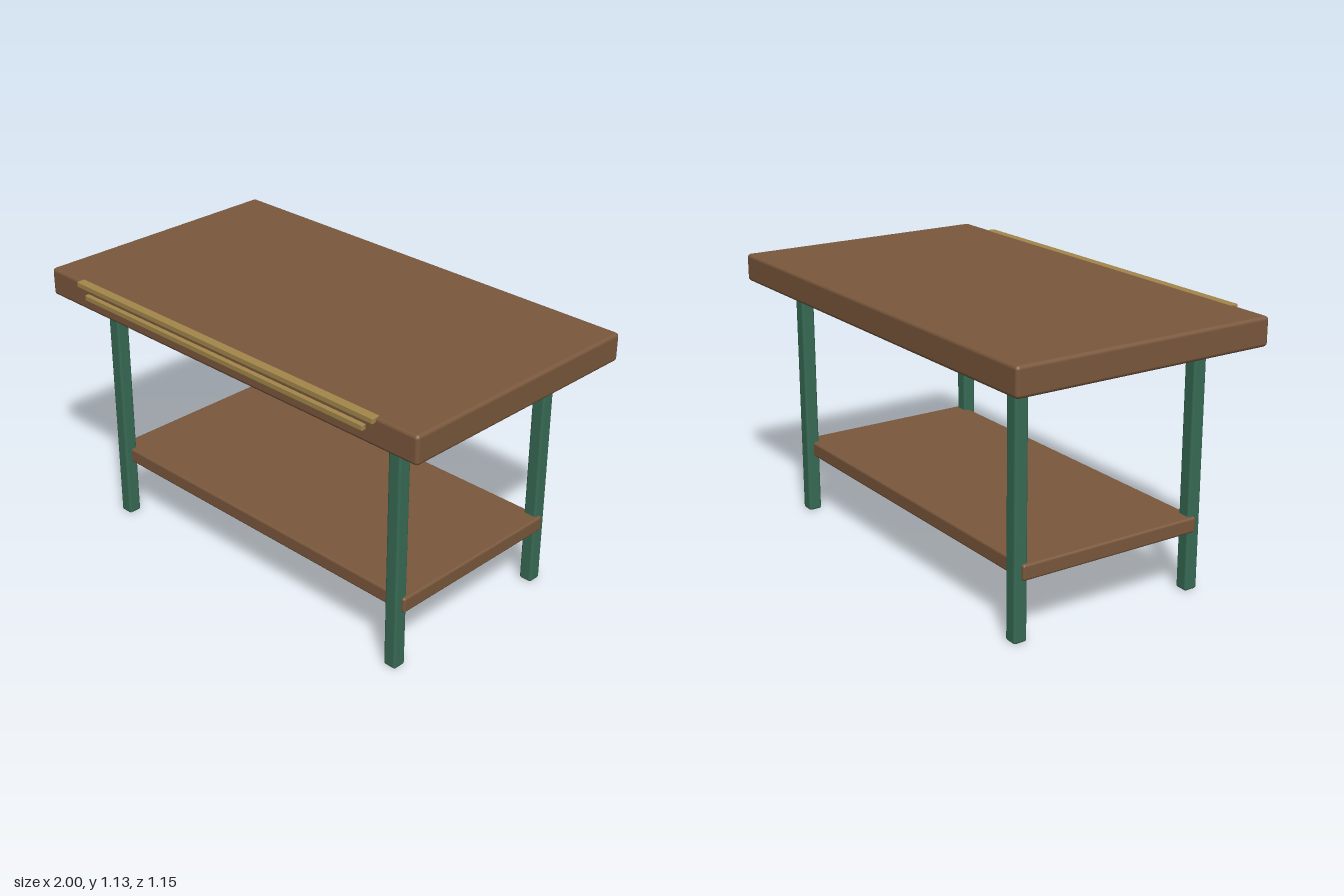
import * as THREE from 'three';
import { RoundedBoxGeometry } from 'three/addons/geometries/RoundedBoxGeometry.js';

export function createModel() {
  const model = new THREE.Group();
  model.name = 'workbench';

  const material = (name, color) => {
    const m = new THREE.MeshStandardMaterial({ color });
    m.name = name;
    return m;
  };
  const wood = material('brown wood', 0x7a583c);
  const green = material('green paint', 0x386b55);
  const brass = material('brass', 0xa3874b);

  // Softened box given by its lower and upper corners
  const block = (name, mat, [x0, y0, z0], [x1, y1, z1], radius) => {
    const geometry = new RoundedBoxGeometry(x1 - x0, y1 - y0, z1 - z0, 2, radius);
    const mesh = new THREE.Mesh(geometry, mat);
    mesh.name = name;
    mesh.position.set((x0 + x1) / 2, (y0 + y1) / 2, (z0 + z1) / 2);
    model.add(mesh);
  };

  // Thick worktop and lower shelf
  block('worktop', wood, [-1, 1.011, -0.573], [1, 1.128, 0.556], 0.015);
  block('shelf', wood, [-0.826, 0.25, -0.415], [0.826, 0.314, 0.4], 0.01);

  // Four posts, ending just below the worktop
  for (const x of [-0.783, 0.783]) {
    for (const [end, z] of [['front', 0.4], ['back', -0.416]]) {
      const side = x > 0 ? 'Left' : 'Right';
      block(end + side + 'Leg', green, [x - 0.029, 0, z - 0.029], [x + 0.029, 0.996, z + 0.029], 0.01);
    }
  }

  // Measuring strips along the front edge
  block('upperRule', brass, [-0.81, 1.107, 0.537], [0.81, 1.13, 0.574], 0.003);
  block('lowerRule', brass, [-0.763, 1.063, 0.537], [0.763, 1.086, 0.574], 0.003);

  return model;
}
